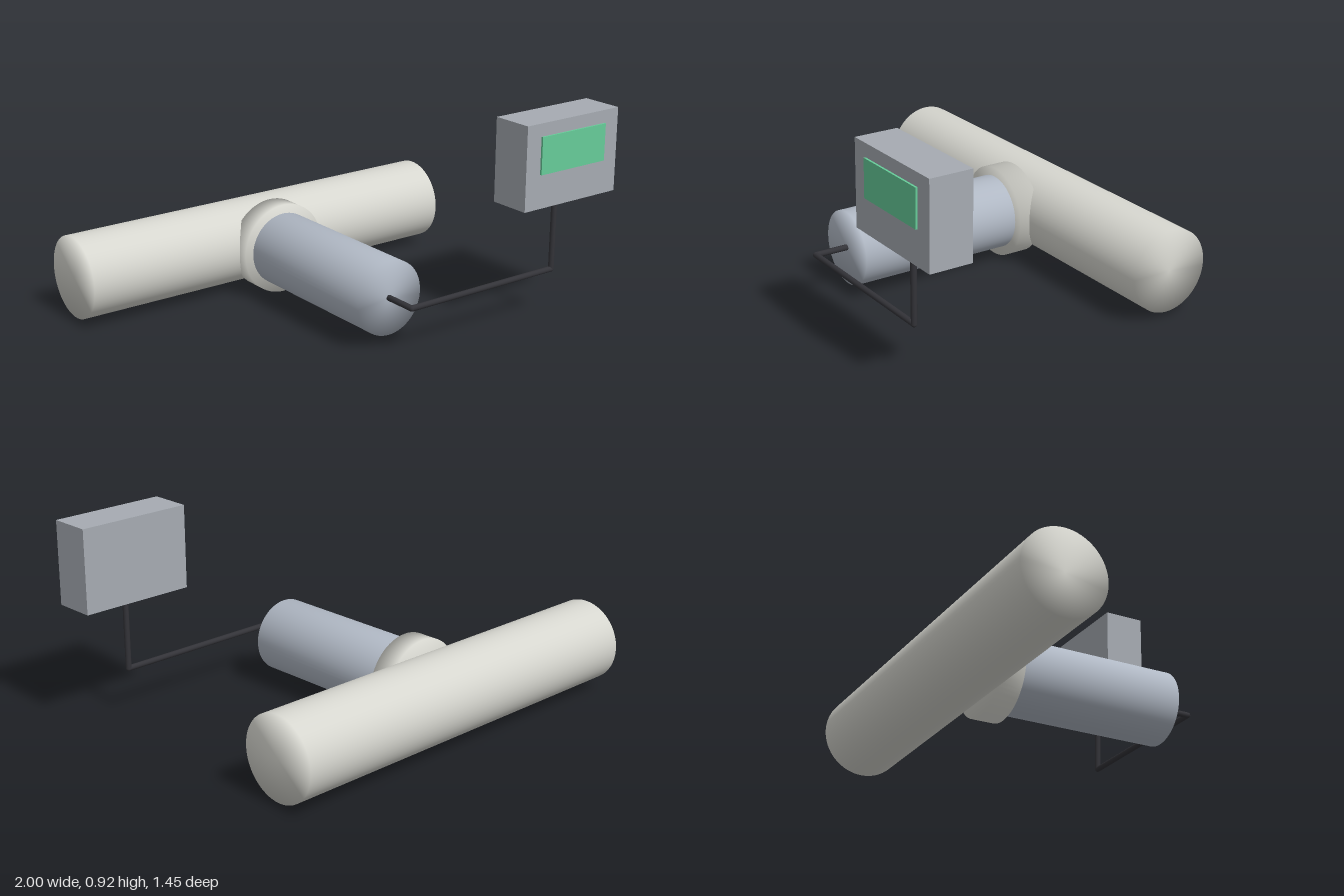
import * as THREE from 'three';
import { mergeVertices } from 'three/addons/utils/BufferGeometryUtils.js';

const mat = (name, color) => {
  const m = new THREE.MeshStandardMaterial({ color });
  m.name = name;
  return m;
};

// Closed cylinder between two points, with normals blended softly over the rim
function rod(name, from, to, radius, sides, material) {
  const a = new THREE.Vector3(...from);
  const dir = new THREE.Vector3(...to).sub(a);
  let g = new THREE.CylinderGeometry(radius, radius, dir.length(), sides);
  g.deleteAttribute('normal');
  g.deleteAttribute('uv');
  g = mergeVertices(g);
  g.computeVertexNormals();
  const mesh = new THREE.Mesh(g, material);
  mesh.name = name;
  mesh.position.copy(a).addScaledVector(dir, 0.5);
  mesh.quaternion.setFromUnitVectors(new THREE.Vector3(0, 1, 0), dir.normalize());
  return mesh;
}

// Box given by its lower and upper corners
function box(name, lo, hi, material) {
  const size = hi.map((v, i) => v - lo[i]);
  const mesh = new THREE.Mesh(new THREE.BoxGeometry(...size), material);
  mesh.name = name;
  mesh.position.set(...lo.map((v, i) => (v + hi[i]) / 2));
  return mesh;
}

export function createModel() {
  const pipeGrey = mat('pipe grey', 0xd6d6cf);
  const sensorGrey = mat('sensor blue grey', 0xb0b8c4);
  const boxGrey = mat('housing grey', 0xa6abb2);
  const screenGreen = mat('screen green', 0x66cc99);
  const cableBlack = mat('cable black', 0x333338);

  const group = new THREE.Group();
  group.name = 'pipeSensor';
  const cx = -0.053, cy = 0.213;

  // Main pipe, collar and sensor barrel
  group.add(rod('mainPipe', [-1, cy, -0.54], [0.893, cy, -0.54], 0.187, 64, pipeGrey));
  group.add(rod('collar', [cx, cy, -0.411], [cx, cy, -0.305], 0.208, 64, pipeGrey));
  group.add(rod('sensorBarrel', [cx, cy, -0.31], [cx, cy, 0.468], 0.167, 64, sensorGrey));

  // Conduit: out of the barrel, sideways, then up towards the housing
  const r = 0.013;
  const points = [[-0.055, 0.215, 0.466], [-0.055, 0.215, 0.62], [0.735, 0.215, 0.62], [0.735, 0.53, 0.622]];
  for (let i = 0; i < 3; i++) {
    group.add(rod('conduit' + (i + 1), points[i], points[i + 1], r, 12, cableBlack));
  }
  for (const p of points.slice(1, 3)) {
    const elbow = new THREE.Mesh(new THREE.SphereGeometry(r, 12, 8), cableBlack);
    elbow.name = 'conduitElbow';
    elbow.position.set(...p);
    group.add(elbow);
  }

  // Readout housing and its screen
  group.add(box('readoutHousing', [0.47, 0.552, 0.526], [1, 0.928, 0.717], boxGrey));
  group.add(box('screen', [0.55, 0.704, 0.717], [0.92, 0.87, 0.726], screenGreen));
  return group;
}
